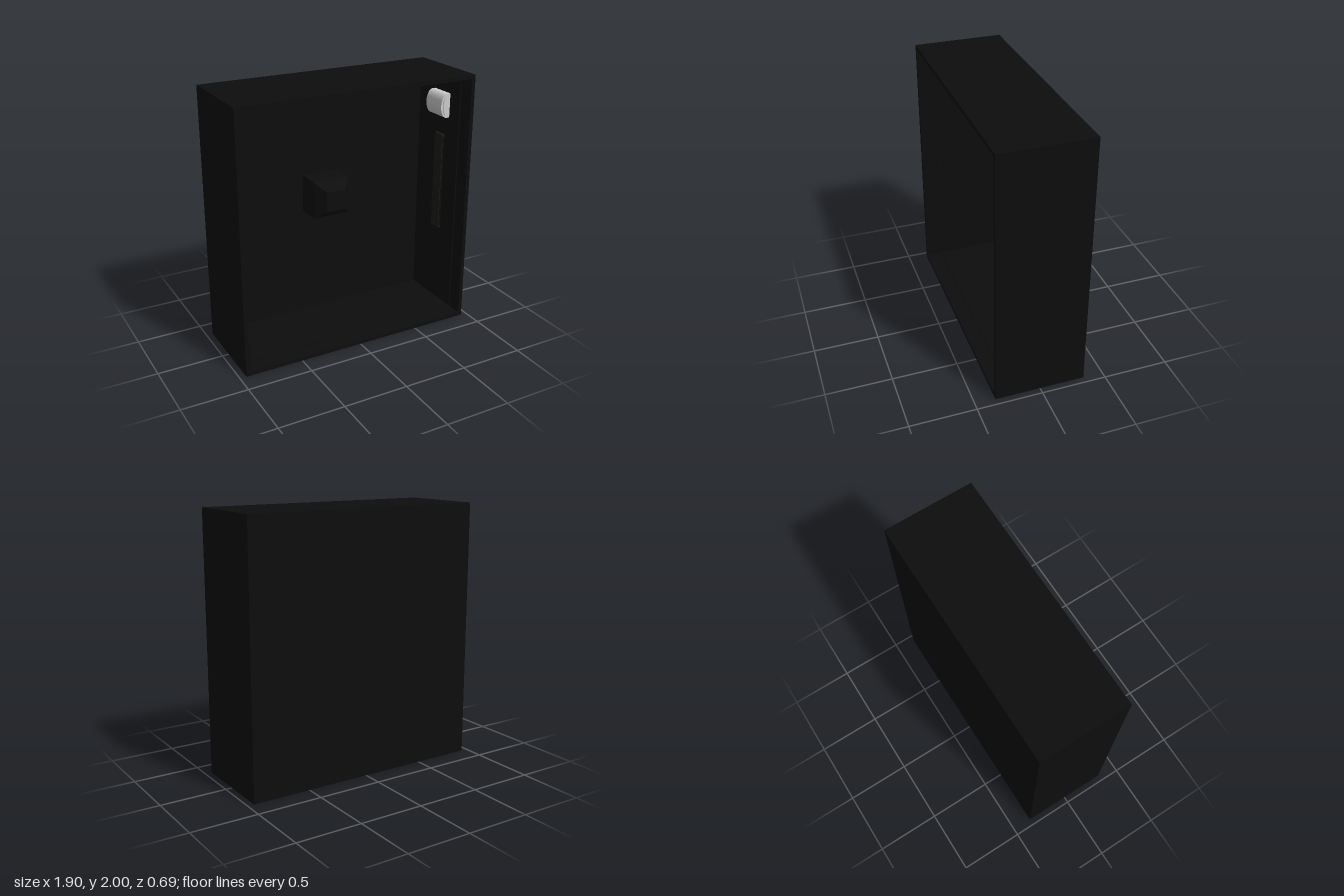
import * as THREE from 'three';

const W = 1.9, H = 2, D = 0.69;

export function createModel() {
  const model = new THREE.Group();
  const black = new THREE.MeshStandardMaterial({ color: 0x0d0d0d, flatShading: true });
  const dark = new THREE.MeshStandardMaterial({ color: 0x1c1c1a, flatShading: true });
  const grey = new THREE.MeshStandardMaterial({ color: 0xcccccc });

  const add = (name, geometry, material, x = 0, y = 0, z = 0) => {
    const mesh = new THREE.Mesh(geometry, material);
    mesh.name = name;
    mesh.position.set(x, y, z);
    model.add(mesh);
    return mesh;
  };
  const box = (name, size, pos, material = black) =>
    add(name, new THREE.BoxGeometry(...size), material, ...pos);

  // Rectangular ring running from z0 to z1
  const ring = (name, outerInset, innerInset, z0, z1) => {
    const rect = (inset, type) => {
      const x = W / 2 - inset;
      return new type([
        new THREE.Vector2(-x, inset), new THREE.Vector2(x, inset),
        new THREE.Vector2(x, H - inset), new THREE.Vector2(-x, H - inset),
      ]);
    };
    const shape = rect(outerInset, THREE.Shape);
    shape.holes.push(rect(innerInset, THREE.Path));
    add(name, new THREE.ExtrudeGeometry(shape, { depth: z1 - z0, bevelEnabled: false }), black, 0, 0, z0);
  };

  // Open-fronted case with a back panel and a raised band round the inside
  ring('caseWalls', 0, 0.03, -D / 2, D / 2);
  box('backPanel', [W - 0.06, H - 0.06, 0.025], [0, H / 2, -D / 2 + 0.0125]);
  ring('innerBand', 0.03, 0.04, -0.125, 0.225);

  // Block on the back panel with a tapered front
  const by = 1.05;
  box('blockBase', [0.3, 0.3, 0.19], [0, by, -0.23]);
  const taper = new THREE.CylinderGeometry(0.08 * Math.SQRT2, 0.15 * Math.SQRT2, 0.09, 4);
  taper.rotateY(Math.PI / 4).rotateX(Math.PI / 2);
  add('blockTaper', taper, black, 0, by, -0.09);

  // D-shaped lamp on the left inner wall, with a smaller lens at its front
  const lampProfile = (w, h) => {
    const s = new THREE.Shape();
    s.moveTo(0, -h);
    s.lineTo(0, h);
    s.lineTo(-w * 0.3, h);
    s.bezierCurveTo(-w * 0.75, h, -w, h * 0.5, -w, 0);
    s.bezierCurveTo(-w, -h * 0.5, -w * 0.75, -h, -w * 0.3, -h);
    s.closePath();
    return s;
  };
  const lamp = (name, w, h, depth, x, z) => add(name,
    new THREE.ExtrudeGeometry(lampProfile(w, h), { depth, bevelEnabled: false, curveSegments: 12 }),
    grey, x, 1.715, z);
  lamp('lampBody', 0.08, 0.095, 0.2, 0.91, -0.1);
  lamp('lampLens', 0.06, 0.078, 0.008, 0.905, 0.1);

  // Slim upright strip below the lamp
  box('wallStrip', [0.024, 0.79, 0.1], [0.901, 1.075, 0], dark);
  box('stripInset', [0.012, 0.76, 0.108], [0.901, 1.075, 0], black);

  return model;
}
